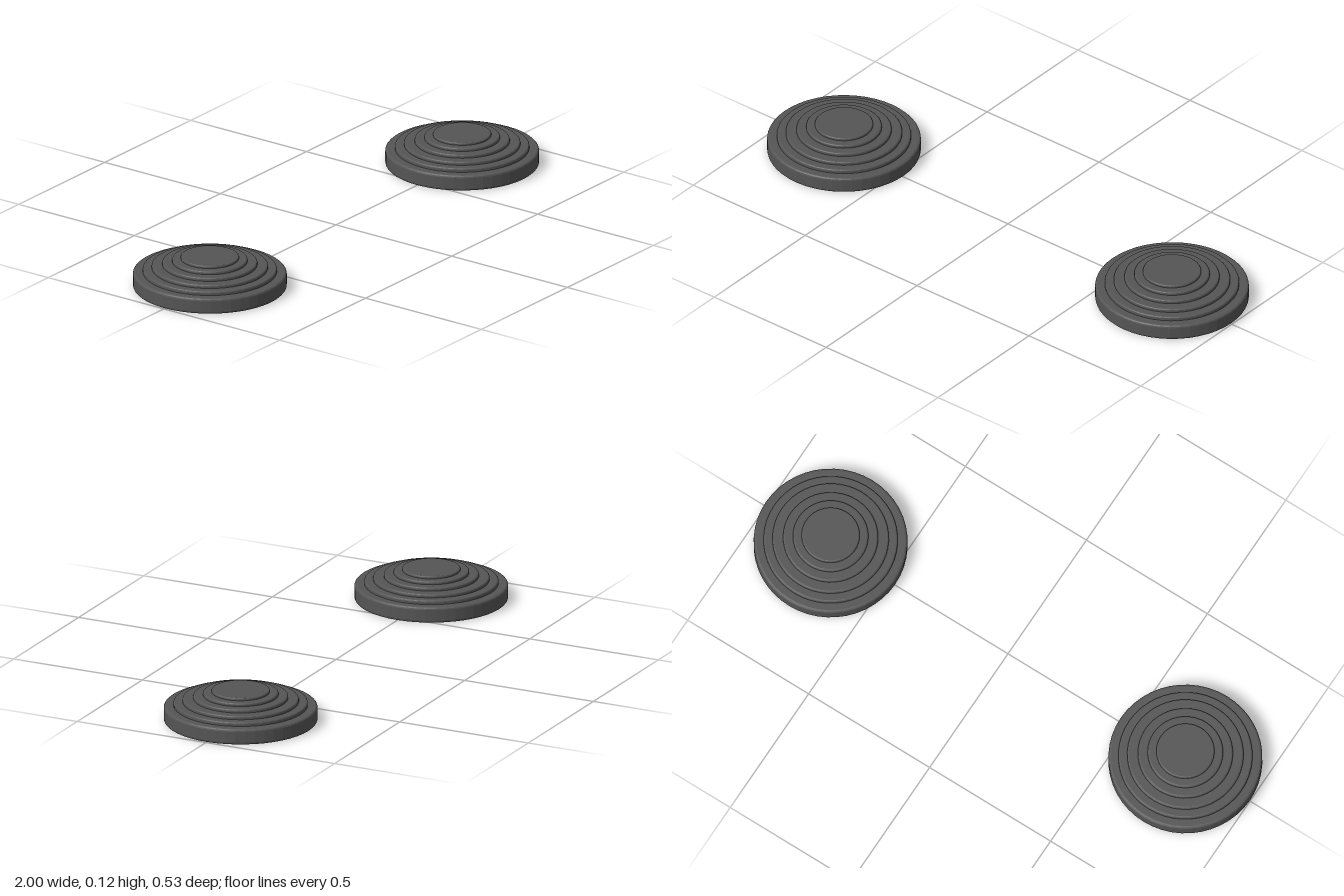
import * as THREE from 'three';

// Tiers from the base up: [radius, top height, edge rounding]
const TIERS = [
  [0.267, 0.057, 0.009],
  [0.233, 0.071, 0.006],
  [0.202, 0.083, 0.006],
  [0.165, 0.095, 0.006],
  [0.131, 0.106, 0.006],
  [0.101, 0.115, 0.005],
];

// Quarter-round edge, from angle a0 to a0 + 90 degrees
function addRound(points, cx, cy, r, a0) {
  for (let i = 0; i <= 3; i++) {
    const a = a0 + (i / 3) * Math.PI / 2;
    points.push(new THREE.Vector2(cx + r * Math.cos(a), cy + r * Math.sin(a)));
  }
}

// Stepped profile, from the centre of the underside to the centre of the top
function discGeometry() {
  const points = [new THREE.Vector2(0, 0)];
  let floor = 0;
  TIERS.forEach(([radius, top, r], i) => {
    if (i === 0) addRound(points, radius - r, r, r, -Math.PI / 2);
    else points.push(new THREE.Vector2(radius, floor));
    addRound(points, radius - r, top - r, r, 0);
    floor = top;
  });
  points.push(new THREE.Vector2(0, floor));
  return new THREE.LatheGeometry(points, 48);
}

export function createModel() {
  const model = new THREE.Group();
  model.name = 'steppedDiscPair';
  const darkGrey = new THREE.MeshStandardMaterial({ color: 0x555555, flatShading: true });
  darkGrey.name = 'darkGrey';

  // Matching discs on the left and right
  const geometry = discGeometry();
  for (const [name, side] of [['leftDisc', 1], ['rightDisc', -1]]) {
    const disc = new THREE.Mesh(geometry, darkGrey);
    disc.name = name;
    disc.position.x = side * 0.733;
    model.add(disc);
  }
  return model;
}
